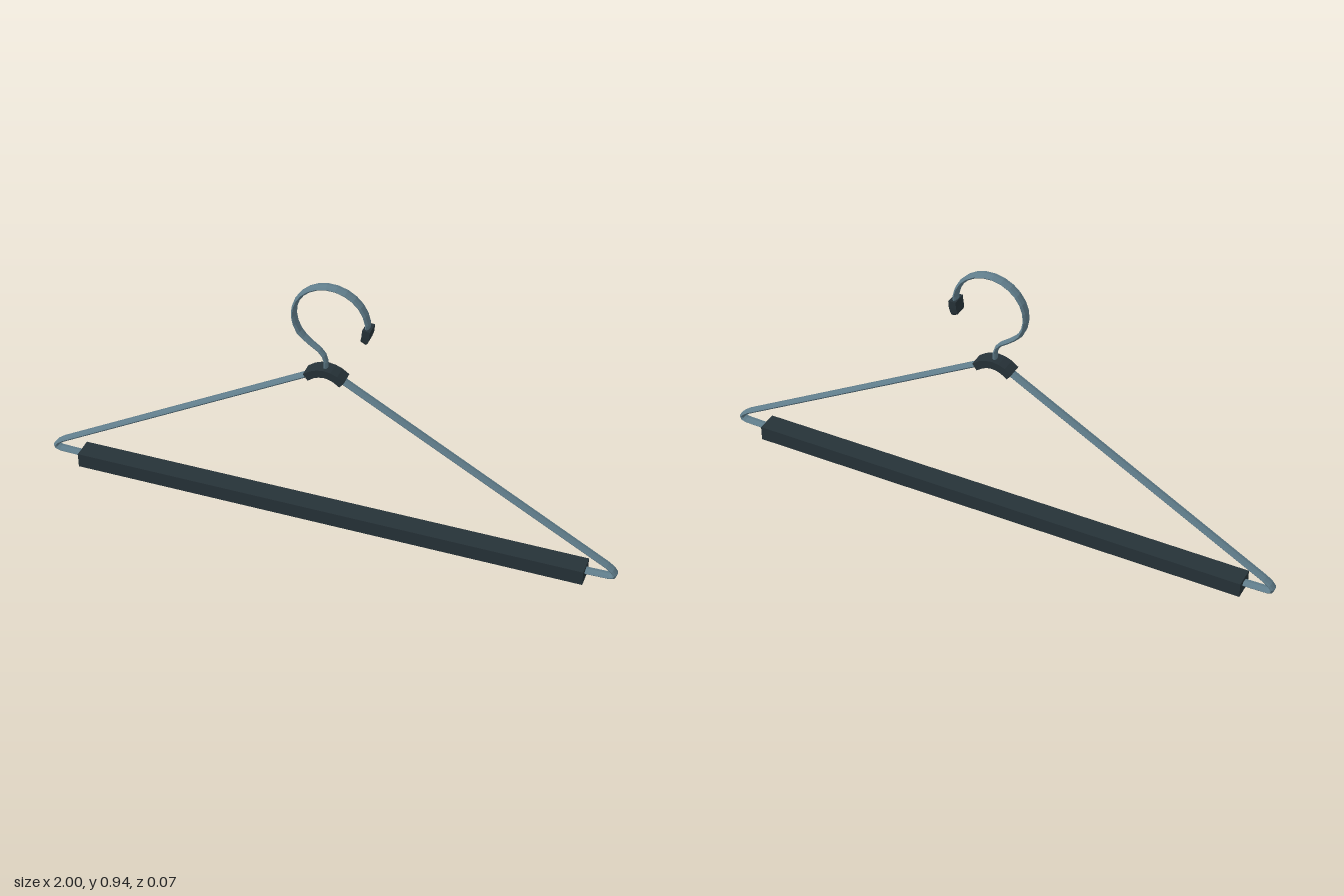
import * as THREE from 'three';

const steel = new THREE.MeshStandardMaterial({ color: 0x607d8b, flatShading: true });
const plastic = new THREE.MeshStandardMaterial({ color: 0x263238, flatShading: true });

// Cross-sections as [in-plane, depth] multipliers, counter-clockwise
const oval = Array.from({ length: 8 }, (_, i) => [Math.cos(i * Math.PI / 4), Math.sin(i * Math.PI / 4)]);
const square = [[1, -1], [1, 1], [-1, 1], [-1, -1]];

// Sweeps a section along a path in the xy plane; points are [x, y, halfThickness, halfDepth]
function sweep(name, points, section, material, closed = false) {
  const n = points.length, m = section.length, pos = [], index = [];
  const at = (i) => points[closed ? (i + n) % n : Math.min(Math.max(i, 0), n - 1)];
  points.forEach((p, i) => {
    const a = new THREE.Vector2(p[0] - at(i - 1)[0], p[1] - at(i - 1)[1]).normalize();
    const b = new THREE.Vector2(at(i + 1)[0] - p[0], at(i + 1)[1] - p[1]).normalize();
    const t = a.clone().add(b).normalize();
    const miter = 1 / Math.max(t.dot(b.length() ? b : a), 0.7);
    for (const [u, v] of section) {
      const r = u * p[2] * miter;
      pos.push(p[0] - t.y * r, p[1] + t.x * r, v * p[3]);
    }
  });
  for (let i = 0; i < (closed ? n : n - 1); i++) {
    for (let j = 0; j < m; j++) {
      const k = (j + 1) % m, q = ((i + 1) % n) * m;
      index.push(i * m + j, i * m + k, q + k, i * m + j, q + k, q + j);
    }
  }
  if (!closed) {
    const e = (n - 1) * m;
    for (let j = 1; j < m - 1; j++) index.push(0, j + 1, j, e, e + j, e + j + 1);
  }
  const indexed = new THREE.BufferGeometry();
  indexed.setAttribute('position', new THREE.Float32BufferAttribute(pos, 3));
  indexed.setIndex(index);
  const geometry = indexed.toNonIndexed();
  geometry.computeVertexNormals();
  const mesh = new THREE.Mesh(geometry, material);
  mesh.name = name;
  return mesh;
}

export function createModel() {
  const group = new THREE.Group();
  group.name = 'clothesHanger';

  // Triangular wire frame: right half outline, mirrored to close the loop
  const half = [[0.025, 0.604], [0.06, 0.586], [0.962, 0.078], [0.982, 0.063],
    [0.992, 0.05], [0.989, 0.041], [0.975, 0.036], [0.9, 0.034]];
  const mirrored = half.map(([x, y]) => [-x, y]).reverse();
  const loop = [...half, ...mirrored].map(([x, y]) => [x, y, 0.008, 0.0175]);
  group.add(sweep('wireFrame', loop, oval, steel, true));

  // Hook: narrow neck flaring into a wide round arc
  const hook = [[0, 0.6, 0.007, 0.013], [0, 0.65, 0.007, 0.013], [-0.007, 0.672, 0.007, 0.013],
    [-0.022, 0.69, 0.007, 0.013], [-0.05, 0.71, 0.007, 0.0145], [-0.074, 0.73, 0.007, 0.017]];
  const cx = 0.016, cy = 0.813, radius = 0.124;
  for (let i = 0; i <= 15; i++) {
    const a = THREE.MathUtils.degToRad(212 - i * 14.6);
    hook.push([cx + radius * Math.cos(a), cy + radius * Math.sin(a), 0.008, 0.0185]);
  }
  group.add(sweep('hook', hook, oval, steel));

  // Protective tip on the hook end
  const tip = [[0.141, 0.815, 0.013, 0.025], [0.139, 0.79, 0.013, 0.025],
    [0.134, 0.772, 0.012, 0.024], [0.131, 0.766, 0.009, 0.021]];
  group.add(sweep('hookTip', tip, square, plastic));

  // Arched collar where the hook meets the frame
  const collar = [[-0.062, 0.587], [-0.04, 0.603], [-0.02, 0.611], [0, 0.614],
    [0.02, 0.611], [0.04, 0.603], [0.062, 0.587]].map(([x, y]) => [x, y, 0.0135, 0.0255]);
  group.add(sweep('collar', collar, square, plastic));

  // Trouser bar sleeve around the lower wire
  const bar = new THREE.Mesh(new THREE.BoxGeometry(1.79, 0.053, 0.074), plastic);
  bar.name = 'trouserBar';
  bar.position.y = 0.0275;
  group.add(bar);

  return group;
}
